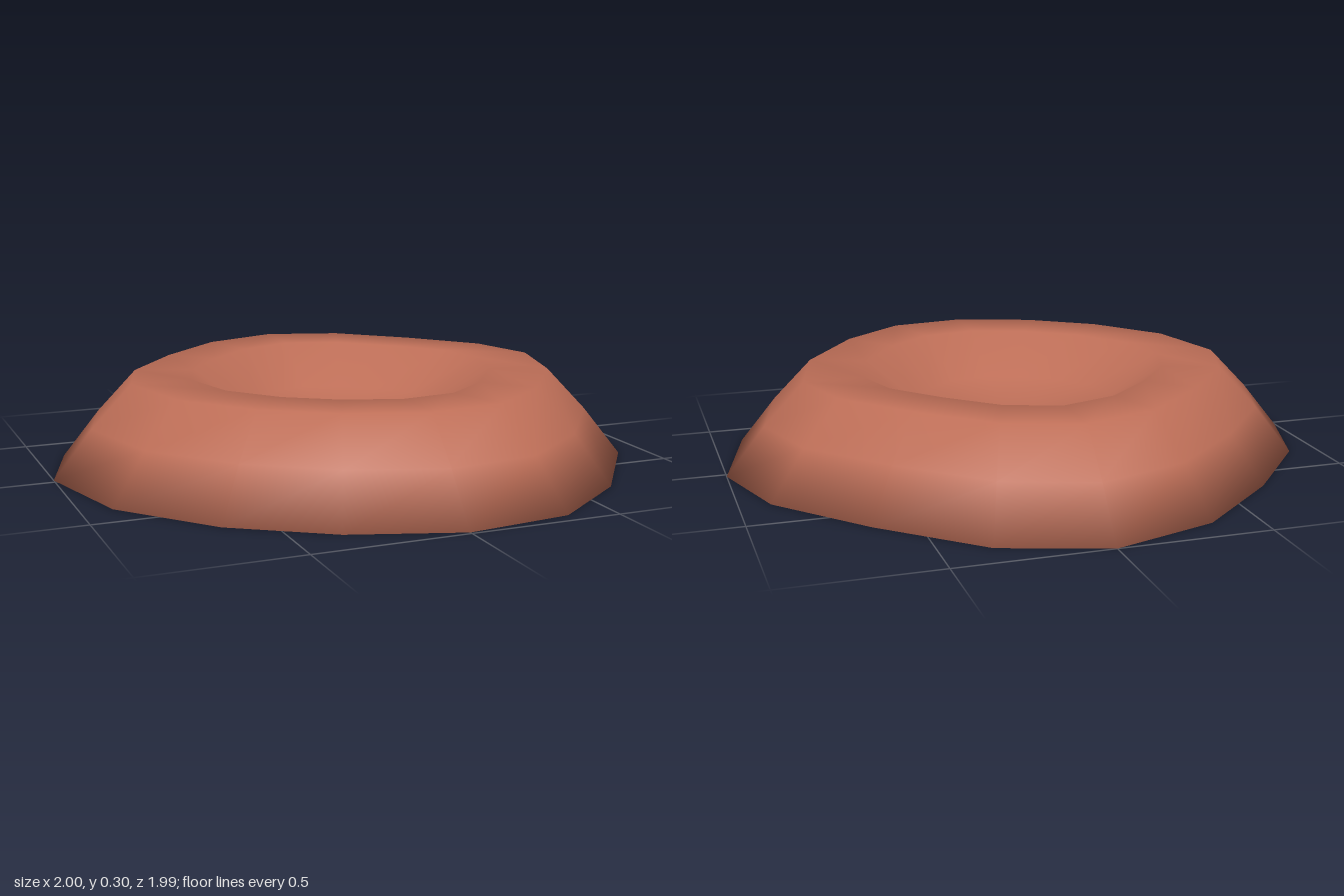
import * as THREE from 'three';

// Sixteen-sided footprint (x, z), going round from the back
const FOOTPRINT = [
  [0, -1], [0.34, -0.89], [0.64, -0.62], [0.9, -0.33],
  [1, -0.02], [0.9, 0.37], [0.64, 0.73], [0.35, 0.95],
  [0, 0.99], [-0.35, 0.87], [-0.65, 0.67], [-0.9, 0.37],
  [-1, -0.02], [-0.9, -0.33], [-0.65, -0.63], [-0.35, -0.89],
];
// Rings from the foot, over the crest, into the bowl: [scale, height]
const RINGS = [[1, 0], [0.87, 0.16], [0.735, 0.3], [0.53, 0.3], [0.36, 0.165]];
const FLOOR = 0.11;

function craterGeometry() {
  const n = FOOTPRINT.length;
  const positions = [];
  const index = [];
  for (const [s, y] of RINGS) {
    for (const [x, z] of FOOTPRINT) positions.push(x * s, y, z * s);
  }
  const centre = positions.length / 3;
  positions.push(0, FLOOR, 0);

  for (let k = 0; k < RINGS.length; k++) {
    for (let i = 0; i < n; i++) {
      const a = k * n + i;
      const b = k * n + ((i + 1) % n);
      if (k === RINGS.length - 1) index.push(b, a, centre);
      else index.push(b, a, a + n, b, a + n, b + n);
    }
  }

  const geometry = new THREE.BufferGeometry();
  geometry.setAttribute('position', new THREE.Float32BufferAttribute(positions, 3));
  geometry.setIndex(index);
  geometry.computeVertexNormals();

  // Soften the foot edge so the shading rolls under
  const normals = geometry.getAttribute('normal');
  FOOTPRINT.forEach((_, i) => {
    const v = new THREE.Vector3(normals.getX(i), 0, normals.getZ(i)).normalize();
    v.setY(-0.4).normalize();
    normals.setXYZ(i, v.x, v.y, v.z);
  });

  // Flat underside, closed in a zigzag across the foot ring
  for (let lo = 0, hi = n - 1; lo + 1 < hi; lo++, hi--) {
    index.push(lo, lo + 1, hi);
    if (lo + 1 < hi - 1) index.push(lo + 1, hi - 1, hi);
  }
  geometry.setIndex(index);
  return geometry;
}

export function createModel() {
  const model = new THREE.Group();
  model.name = 'crater';

  const clay = new THREE.MeshStandardMaterial({ color: 0xbd6e57 });
  clay.name = 'red clay';

  const mound = new THREE.Mesh(craterGeometry(), clay);
  mound.name = 'craterMound';
  model.add(mound);
  return model;
}
